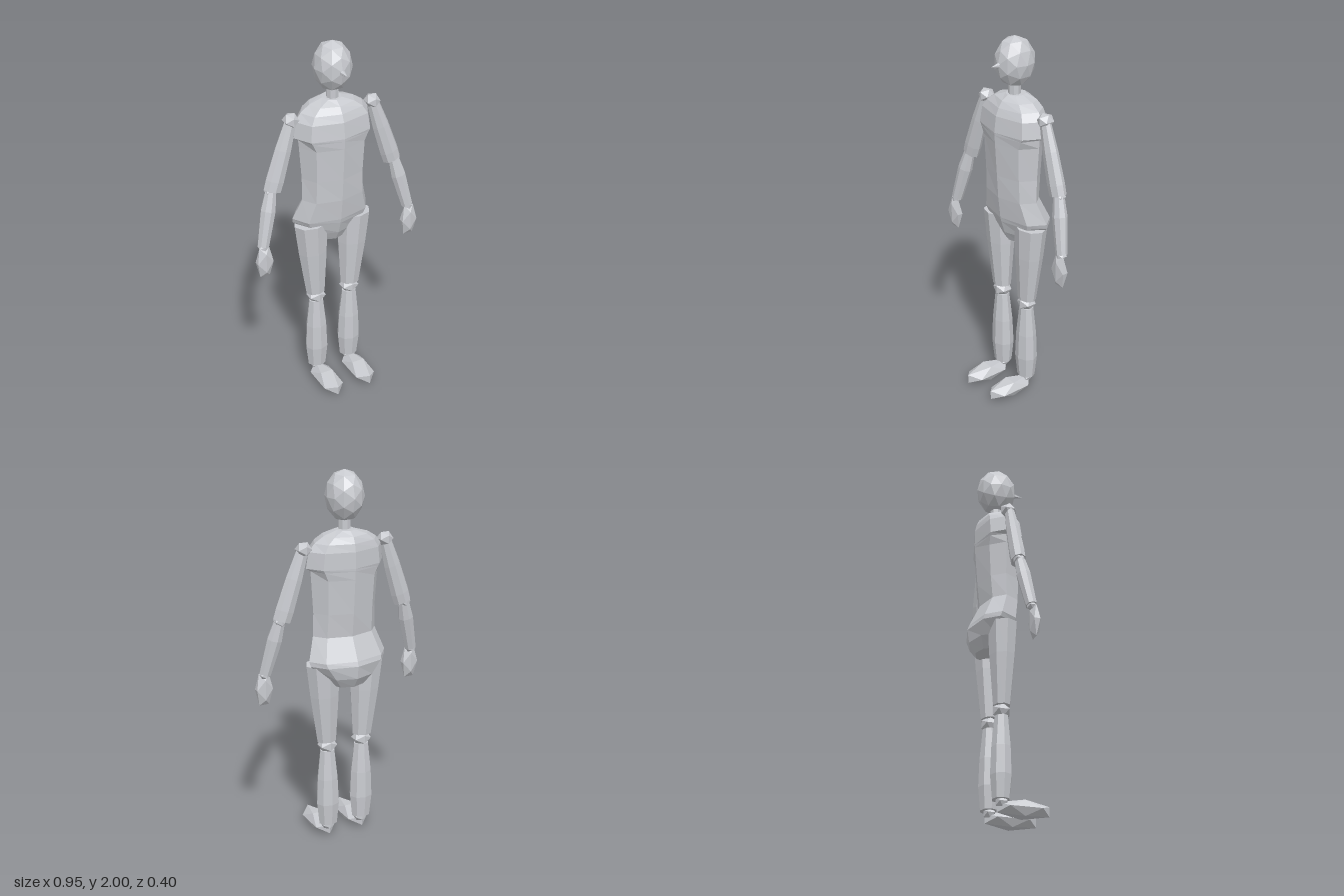
import * as THREE from 'three';

const grey = new THREE.MeshStandardMaterial({ color: 0xc8cacf, flatShading: true });
grey.name = 'mannequin grey';

function add(parent, name, geometry) {
  const mesh = new THREE.Mesh(geometry, grey);
  mesh.name = name;
  parent.add(mesh);
  return mesh;
}

// Faceted ball given by its centre and half extents; detail 0 reaches only 0.85 along each axis
function ball(parent, name, centre, half, detail = 0) {
  const k = detail ? 1 : 0.8507;
  const mesh = add(parent, name, new THREE.IcosahedronGeometry(1, detail));
  mesh.position.set(...centre);
  mesh.scale.set(half[0] / k, half[1] / k, half[2] / k);
  return mesh;
}

// Eight-sided limb from its lower end to its upper end; profile holds [fraction, radius]
function limb(parent, name, low, high, profile, depth = 1) {
  const a = new THREE.Vector3(...low), b = new THREE.Vector3(...high);
  const length = a.distanceTo(b);
  const points = profile.map(([t, r]) => new THREE.Vector2(r, t * length));
  points.unshift(new THREE.Vector2(0, points[0].y));
  points.push(new THREE.Vector2(0, points[points.length - 1].y));
  const mesh = add(parent, name, new THREE.LatheGeometry(points, 8));
  mesh.position.copy(a);
  mesh.quaternion.setFromUnitVectors(new THREE.Vector3(0, 1, 0), b.sub(a).normalize());
  mesh.scale.z = depth;
  return mesh;
}

// Torso skinned over eight-cornered sections: [y, half width, corner half width, front z, back z]
function torsoGeometry() {
  const rings = [
    [0.885, 0.09, 0.07, -0.01, -0.155], [0.94, 0.15, 0.11, 0.02, -0.19], [1.01, 0.215, 0.16, 0.042, -0.2],
    [1.035, 0.22, 0.168, 0.048, -0.192], [1.155, 0.18, 0.135, 0.062, -0.135], [1.28, 0.178, 0.132, 0.07, -0.148],
    [1.46, 0.19, 0.138, 0.082, -0.162], [1.505, 0.194, 0.158, 0.085, -0.165], [1.52, 0.218, 0.168, 0.086, -0.166],
    [1.605, 0.206, 0.158, 0.075, -0.165], [1.645, 0.174, 0.136, 0.058, -0.157], [1.677, 0.125, 0.097, 0.035, -0.142],
    [1.7, 0.05, 0.04, 0.0, -0.11],
  ];
  const positions = [], index = [], n = 8;
  for (const [y, w, c, front, back] of rings) {
    const section = [[0, 0], [c, 0.16], [w, 0.53], [c * 0.95, 0.84], [0, 1], [-c * 0.95, 0.84], [-w, 0.53], [-c, 0.16]];
    for (const [x, v] of section) positions.push(x, y, front + (back - front) * v);
  }
  const bottom = positions.length / 3, top = bottom + 1, last = (rings.length - 1) * n;
  positions.push(0, 0.885, -0.08, 0, 1.703, -0.05);
  for (let j = 0; j < n; j++) {
    const k = (j + 1) % n;
    for (let i = 0; i < last; i += n)
      index.push(i + j, i + k, i + n + j, i + k, i + n + k, i + n + j);
    index.push(bottom, k, j, top, last + j, last + k);
  }
  const geometry = new THREE.BufferGeometry();
  geometry.setAttribute('position', new THREE.Float32BufferAttribute(positions, 3));
  geometry.setIndex(index);
  geometry.computeVertexNormals();
  return geometry;
}

export function createModel() {
  const model = new THREE.Group();
  model.name = 'mannequin';

  // Head, nose, neck and torso
  ball(model, 'head', [0, 1.868, -0.046], [0.099, 0.132, 0.108], 1);
  const nose = add(model, 'nose', new THREE.ConeGeometry(0.017, 0.06, 6));
  nose.rotation.x = Math.PI / 2;
  nose.position.set(0, 1.866, 0.077);
  limb(model, 'neck', [0, 1.68, -0.045], [0, 1.78, -0.045], [[0, 0.032], [1, 0.032]]);
  add(model, 'torso', torsoGeometry());

  for (const [side, s] of [['left', 1], ['right', -1]]) {
    // Arm
    const arm = new THREE.Group();
    arm.name = side + 'Arm';
    model.add(arm);
    ball(arm, 'shoulder', [s * 0.232, 1.622, -0.05], [0.037, 0.034, 0.04]);
    limb(arm, 'upperArm', [s * 0.35, 1.265, -0.036], [s * 0.235, 1.615, -0.046],
      [[0, 0.05], [0.15, 0.052], [0.6, 0.046], [1, 0.033]], 0.75);
    ball(arm, 'elbow', [s * 0.36, 1.265, -0.036], [0.03, 0.03, 0.03]);
    limb(arm, 'forearm', [s * 0.43, 0.98, 0.004], [s * 0.36, 1.265, -0.033],
      [[0, 0.032], [0.2, 0.035], [0.65, 0.041], [1, 0.03]], 0.9);
    ball(arm, 'wrist', [s * 0.431, 0.975, 0.006], [0.025, 0.02, 0.025]);
    ball(arm, 'hand', [s * 0.432, 0.893, 0.018], [0.044, 0.087, 0.025]);

    // Leg
    const leg = new THREE.Group();
    leg.name = side + 'Leg';
    model.add(leg);
    limb(leg, 'thigh', [s * 0.105, 0.565, -0.047], [s * 0.127, 1.005, -0.05],
      [[0, 0.054], [0.6, 0.082], [1, 0.095]], 0.83);
    ball(leg, 'knee', [s * 0.102, 0.537, -0.047], [0.046, 0.036, 0.043]);
    limb(leg, 'shin', [s * 0.1, 0.08, -0.049], [s * 0.102, 0.51, -0.047],
      [[0, 0.052], [0.28, 0.065], [0.62, 0.059], [1, 0.041]], 0.86);
    ball(leg, 'ankle', [s * 0.1, 0.068, -0.045], [0.035, 0.03, 0.03]);
    ball(leg, 'foot', [s * 0.1, 0.041, 0.065], [0.057, 0.041, 0.135]);
  }
  return model;
}
